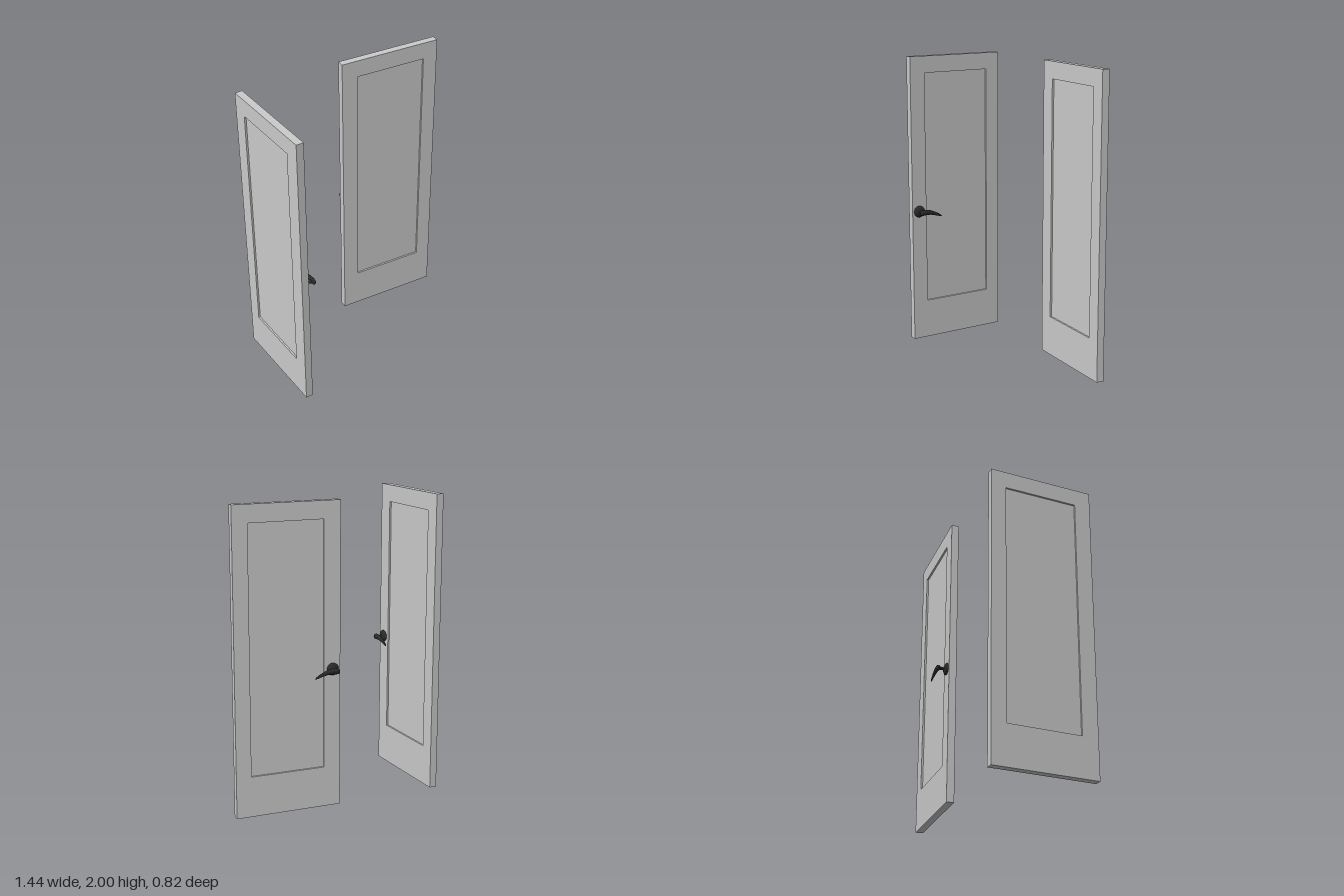
import * as THREE from 'three';

const WIDTH = 0.706, HEIGHT = 2, THICK = 0.05, RECESS = 0.012;
const PANEL = { x0: 0.11, x1: 0.605, y0: 0.27, y1: 1.885 };
const PIVOT_X = 0.052, PIVOT_Y = 0.924;

const grey = new THREE.MeshStandardMaterial({ color: 0xcccccc });
const dark = new THREE.MeshStandardMaterial({ color: 0x2b2b2b });

function addMesh(parent, name, geometry, material) {
  const mesh = new THREE.Mesh(geometry, material);
  mesh.name = name;
  parent.add(mesh);
  return mesh;
}

function rectangle(PathType, x0, y0, x1, y1) {
  return new PathType([[x0, y0], [x1, y0], [x1, y1], [x0, y1]].map(p => new THREE.Vector2(...p)));
}

// Lever: elliptical sections along x, given as [x, y, half height, half depth, z]
function leverGeometry(side) {
  const sections = [
    [0.026, 0.922, 0, 0, 0.061],
    [0.029, 0.922, 0.011, 0.008, 0.061],
    [0.037, 0.923, 0.017, 0.012, 0.061],
    [0.052, 0.925, 0.02, 0.0135, 0.061],
    [0.08, 0.926, 0.018, 0.0125, 0.061],
    [0.11, 0.922, 0.016, 0.011, 0.061],
    [0.14, 0.913, 0.013, 0.0085, 0.062],
    [0.17, 0.901, 0.01, 0.006, 0.063],
    [0.19, 0.891, 0.006, 0.0035, 0.063],
    [0.198, 0.886, 0, 0, 0.063],
  ];
  const N = 20, positions = [], index = [];
  sections.forEach(([x, y, hy, hz, z], i) => {
    for (let j = 0; j < N; j++) {
      const a = (j / N) * Math.PI * 2;
      positions.push(x, y + hy * Math.cos(a), side * z + hz * Math.sin(a));
      if (i === sections.length - 1) continue;
      const p = i * N + j, q = i * N + (j + 1) % N;
      index.push(p, q, p + N, q, q + N, p + N);
    }
  });
  const geometry = new THREE.BufferGeometry();
  geometry.setAttribute('position', new THREE.Float32BufferAttribute(positions, 3));
  geometry.setIndex(index);
  geometry.computeVertexNormals();
  return geometry;
}

// Handle on the +z (side = 1) or -z (side = -1) face
function createHandle(side) {
  const handle = new THREE.Group();
  handle.name = 'handle';
  // Domed rosette running into the stem
  const profile = [[0.04, 0], [0.04, 0.005], [0.034, 0.013], [0.024, 0.018], [0.012, 0.02],
    [0.009, 0.024], [0.009, 0.034], [0.012, 0.042], [0.012, 0.056]];
  const rosette = new THREE.LatheGeometry(profile.map(p => new THREE.Vector2(...p)), 28);
  rosette.rotateX(side * Math.PI / 2);
  addMesh(handle, 'rosetteAndStem', rosette, dark).position.set(PIVOT_X, PIVOT_Y, 0);
  addMesh(handle, 'lever', leverGeometry(side), dark);
  handle.position.z = side * THICK / 2;
  return handle;
}

// Door leaf with its free edge at x = 0 and its hinge edge at x = WIDTH
function createDoor(name, handleSide) {
  const door = new THREE.Group();
  door.name = name;
  const { x0, x1, y0, y1 } = PANEL;
  const outline = rectangle(THREE.Shape, 0, 0, WIDTH, HEIGHT);
  outline.holes.push(rectangle(THREE.Path, x0, y0, x1, y1));
  const frame = new THREE.ExtrudeGeometry(outline, { depth: THICK, bevelEnabled: false });
  frame.translate(0, 0, -THICK / 2);
  addMesh(door, 'doorFrame', frame, grey);
  // Panel set back on both faces
  const panel = new THREE.BoxGeometry(x1 - x0, y1 - y0, THICK - 2 * RECESS);
  addMesh(door, 'recessedPanel', panel, grey).position.set((x0 + x1) / 2, (y0 + y1) / 2, 0);
  door.add(createHandle(handleSide));
  return door;
}

export function createModel() {
  const model = new THREE.Group();
  model.name = 'pairOfDoors';

  const leftDoor = createDoor('leftDoor', -1);
  leftDoor.position.set(0.01, 0, -0.31);

  // Swung open a little past a right angle
  const rightDoor = createDoor('rightDoor', 1);
  rightDoor.position.set(-0.632, 0, 0.404);
  rightDoor.rotation.y = Math.PI / 2 + 0.089;

  model.add(leftDoor, rightDoor);
  return model;
}
